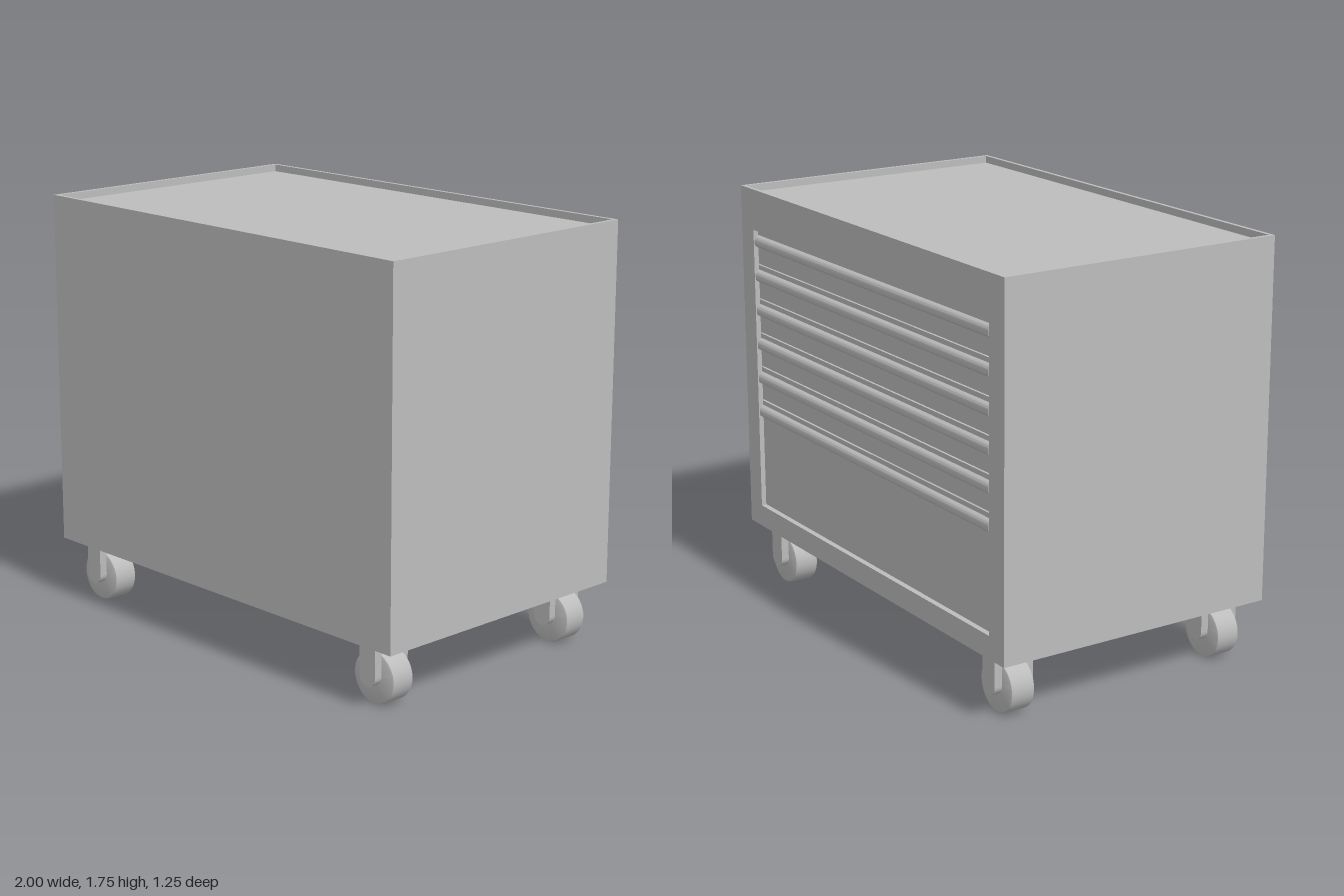
import * as THREE from 'three';
import { toCreasedNormals } from 'three/addons/utils/BufferGeometryUtils.js';

const steel = new THREE.MeshStandardMaterial({ color: 0xbdbdbd });
steel.name = 'grey steel';

const BASE = 0.255, DECK = 1.725, TOP = 1.755, HALF_W = 1, HALF_D = 0.625;

function add(parent, name, geometry, x = 0, y = 0, z = 0) {
  const mesh = new THREE.Mesh(geometry, steel);
  mesh.name = name;
  mesh.position.set(x, y, z);
  parent.add(mesh);
  return mesh;
}

// Box given by its lower and upper corners
function addBox(parent, name, [x0, y0, z0], [x1, y1, z1]) {
  return add(parent, name, new THREE.BoxGeometry(x1 - x0, y1 - y0, z1 - z0),
    (x0 + x1) / 2, (y0 + y1) / 2, (z0 + z1) / 2);
}

function rectangle(PathType, x0, y0, x1, y1) {
  const p = new PathType();
  p.moveTo(x0, y0);
  p.lineTo(x1, y0);
  p.lineTo(x1, y1);
  p.lineTo(x0, y1);
  p.closePath();
  return p;
}

// Rectangular frame with a rectangular opening
function frame(outer, inner, depth) {
  const shape = rectangle(THREE.Shape, ...outer);
  shape.holes.push(rectangle(THREE.Path, ...inner));
  return new THREE.ExtrudeGeometry(shape, { depth, bevelEnabled: false });
}

// Drawer pull with a rounded front edge, extruded along x
function pullGeometry(length) {
  const s = new THREE.Shape();
  s.moveTo(0, 0);
  s.lineTo(0.008, 0);
  s.quadraticCurveTo(0.019, 0.002, 0.019, 0.016);
  s.lineTo(0.019, 0.03);
  s.quadraticCurveTo(0.016, 0.044, 0, 0.05);
  s.closePath();
  const g = new THREE.ExtrudeGeometry(s, { depth: length, bevelEnabled: false, curveSegments: 6 });
  g.translate(0, 0, -length / 2);
  g.rotateY(Math.PI / 2); // profile depth now points to -z
  return toCreasedNormals(g, 0.6);
}

function createCaster() {
  const caster = new THREE.Group();
  caster.name = 'caster';
  // Wheel with bevelled rims
  const r = 0.108, w = 0.054, b = 0.01;
  const profile = [[0, -w], [r - b, -w], [r - 0.003, -w + 0.003], [r, -w + b],
    [r, w - b], [r - 0.003, w - 0.003], [r - b, w], [0, w]].map(p => new THREE.Vector2(...p));
  const wheel = toCreasedNormals(new THREE.LatheGeometry(profile, 40), 0.5);
  wheel.rotateX(Math.PI / 2);
  add(caster, 'wheel', wheel, 0, r, 0);
  // Two fork plates with round lower ends
  const fr = 0.042, s = new THREE.Shape();
  s.moveTo(fr, BASE);
  s.lineTo(-fr, BASE);
  s.lineTo(-fr, 0.08 + fr);
  s.absarc(0, 0.08 + fr, fr, Math.PI, 2 * Math.PI, false);
  s.closePath();
  const plate = toCreasedNormals(
    new THREE.ExtrudeGeometry(s, { depth: 0.034, bevelEnabled: false, curveSegments: 16 }), 0.5);
  add(caster, 'forkPlate', plate, 0, 0, w);
  add(caster, 'forkPlate', plate, 0, 0, -w - 0.034);
  return caster;
}

export function createModel() {
  const model = new THREE.Group();
  model.name = 'toolCabinet';

  // Cabinet body, and the frame around the drawers at the back
  const recess = -0.595, ow = 0.9, oy0 = 0.35, oy1 = 1.58;
  addBox(model, 'cabinetBody', [-HALF_W, BASE, recess], [HALF_W, DECK, HALF_D]);
  add(model, 'drawerFrame', frame([-HALF_W, BASE, HALF_W, DECK], [-ow, oy0, ow, oy1], recess + HALF_D),
    0, 0, -HALF_D);

  // Raised lip around the top
  const t = 0.017;
  const lip = frame([-HALF_W, -HALF_D, HALF_W, HALF_D], [-HALF_W + t, -HALF_D + t, HALF_W - t, HALF_D - t], TOP - DECK);
  lip.rotateX(-Math.PI / 2);
  add(model, 'topLip', lip, 0, DECK, 0);

  // Five shallow drawers above one deep drawer, each with a full-width pull
  const pull = pullGeometry(2 * ow - 0.012), face = -0.605, gap = 0.003;
  for (let i = 0; i < 6; i++) {
    const top = oy1 - i * 0.15;
    const bottom = i < 5 ? top - 0.15 : oy0;
    const drawer = new THREE.Group();
    drawer.name = 'drawer';
    addBox(drawer, 'drawerFront', [-ow + gap, bottom + gap, face], [ow - gap, top - gap, recess]);
    add(drawer, 'drawerPull', pull, 0, top - 0.073, face);
    model.add(drawer);
  }

  // Four casters
  for (const x of [-0.84, 0.84]) {
    for (const z of [-0.5, 0.5]) {
      const caster = createCaster();
      caster.position.set(x, 0, z);
      model.add(caster);
    }
  }
  return model;
}
